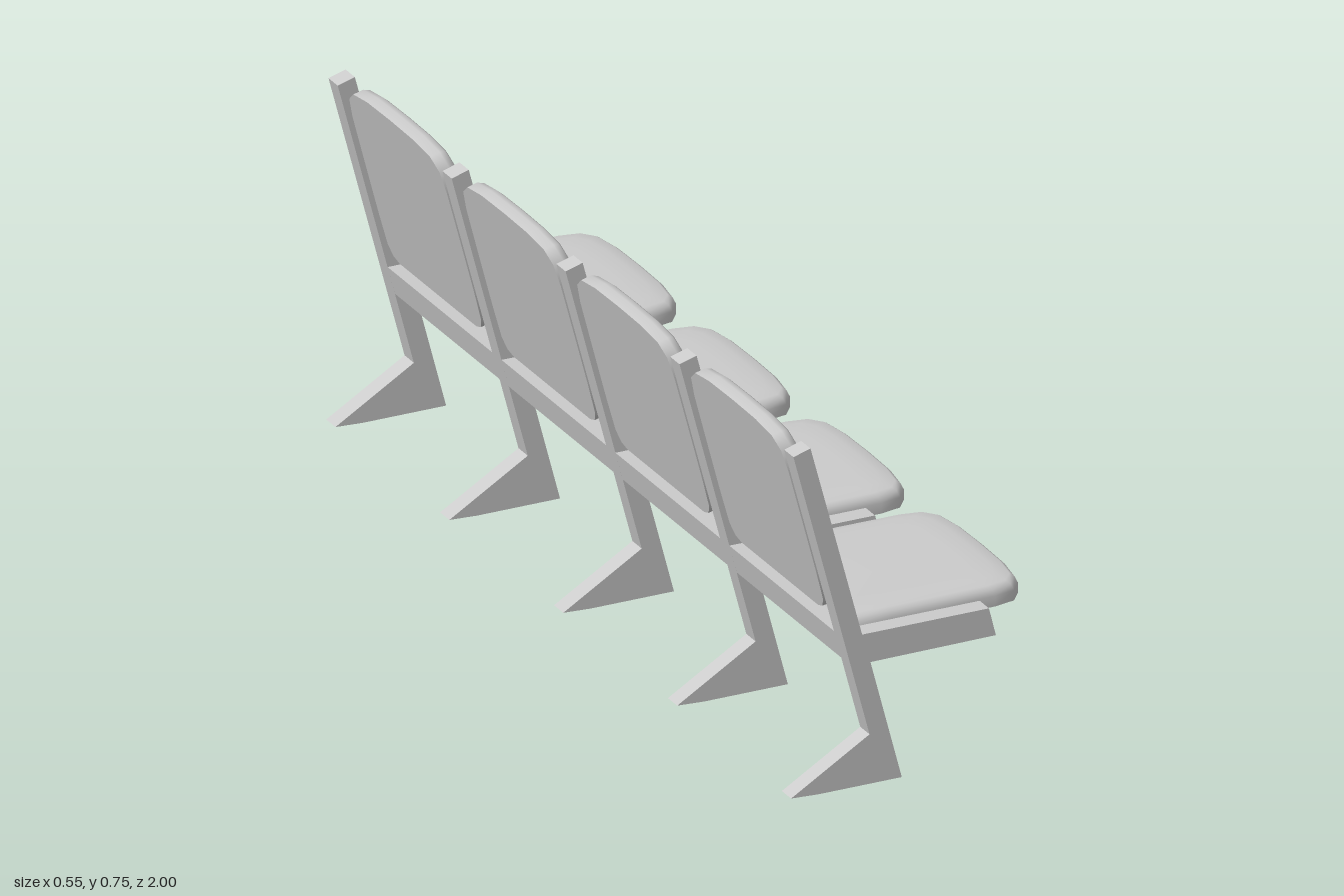
import * as THREE from 'three';

const material = new THREE.MeshStandardMaterial({ color: 0xcccccc });

// Flat side profile pushed out along z and centred on z = 0
function extrudeProfile(points, depth) {
  const shape = new THREE.Shape(points.map(([x, y]) => new THREE.Vector2(x, y)));
  return new THREE.ExtrudeGeometry(shape, { depth, bevelEnabled: false }).translate(0, 0, -depth / 2);
}

// Soft cushion: x runs from hinge end to free end, y is thickness, z is width
function cushionGeometry() {
  const length = 0.405, halfWidth = 0.204;
  const half = [
    [0, 0], [0, 0.1], [0, 0.165], [0.008, 0.188], [0.03, 0.201], [0.1, 0.204], [0.2, 0.204],
    [0.325, 0.203], [0.37, 0.194], [0.393, 0.165], [0.403, 0.1], [0.405, 0],
  ];
  const outline = [...half, ...half.slice(1, -1).reverse().map(([x, z]) => [x, -z])];
  // height, inset at free end, inset at sides, inset at hinge end
  const rings = [
    [0, 0, 0, 0], [0.022, 0, 0, 0], [0.034, 0.005, 0.006, 0.003],
    [0.04, 0.013, 0.015, 0.006], [0.044, 0.04, 0.035, 0.012], [0.046, 0.08, 0.07, 0.04],
  ];
  const n = outline.length, positions = [], index = [];
  const addRing = ([y, free, side, hinge]) => {
    for (const [x, z] of outline) {
      positions.push(hinge + (x / length) * (length - free - hinge), y, z * (1 - side / halfWidth));
    }
  };
  rings.forEach(addRing);
  const topCentre = positions.length / 3;
  positions.push(length / 2, 0.046, 0);
  // separate underside ring keeps its edge sharp
  const base = positions.length / 3;
  addRing(rings[0]);
  const baseCentre = positions.length / 3;
  positions.push(length / 2, 0, 0);

  for (let i = 0; i < n; i++) {
    const j = (i + 1) % n;
    for (let r = 0; r < rings.length - 1; r++) {
      const a = r * n, b = a + n;
      index.push(a + i, a + j, b + j, a + i, b + j, b + i);
    }
    const top = (rings.length - 1) * n;
    index.push(topCentre, top + i, top + j, baseCentre, base + j, base + i);
  }
  const geometry = new THREE.BufferGeometry();
  geometry.setAttribute('position', new THREE.Float32BufferAttribute(positions, 3));
  geometry.setIndex(index);
  geometry.computeVertexNormals();
  return geometry;
}

export function createModel() {
  const group = new THREE.Group();
  const add = (name, geometry, x = 0, y = 0, z = 0) => {
    const mesh = new THREE.Mesh(geometry, material);
    mesh.name = name;
    mesh.position.set(x, y, z);
    group.add(mesh);
    return mesh;
  };

  // Upright frames: raked post, seat arm and wedge foot in one profile
  const frame = extrudeProfile([
    [-0.277, 0.003], [-0.217, 0], [-0.037, 0], [-0.105, 0.258], [0.167, 0.26], [0.152, 0.32],
    [-0.123, 0.32], [-0.235, 0.738], [-0.272, 0.727], [-0.107, 0.105],
  ], 0.04);
  for (let i = 0; i < 5; i++) add('frame', frame, 0, 0, (i - 2) * 0.49);

  // Beam sections joining the frames
  const beam = extrudeProfile([
    [-0.148, 0.26], [-0.106, 0.26], [-0.122, 0.32], [-0.164, 0.32],
  ], 0.45);

  // Seat and backrest share one cushion shape
  const cushion = cushionGeometry();
  const raked = cushion.clone().applyMatrix4(new THREE.Matrix4().makeBasis(
    new THREE.Vector3(-0.256, 0.967, 0),
    new THREE.Vector3(0.967, 0.256, 0),
    new THREE.Vector3(0, 0, -1),
  ));
  for (let i = 0; i < 4; i++) {
    const z = (i - 1.5) * 0.49;
    add('crossBeam', beam, 0, 0, z);
    add('seat', cushion, -0.128, 0.29, z);
    add('backrest', raked, -0.168, 0.352, z);
  }
  return group;
}
